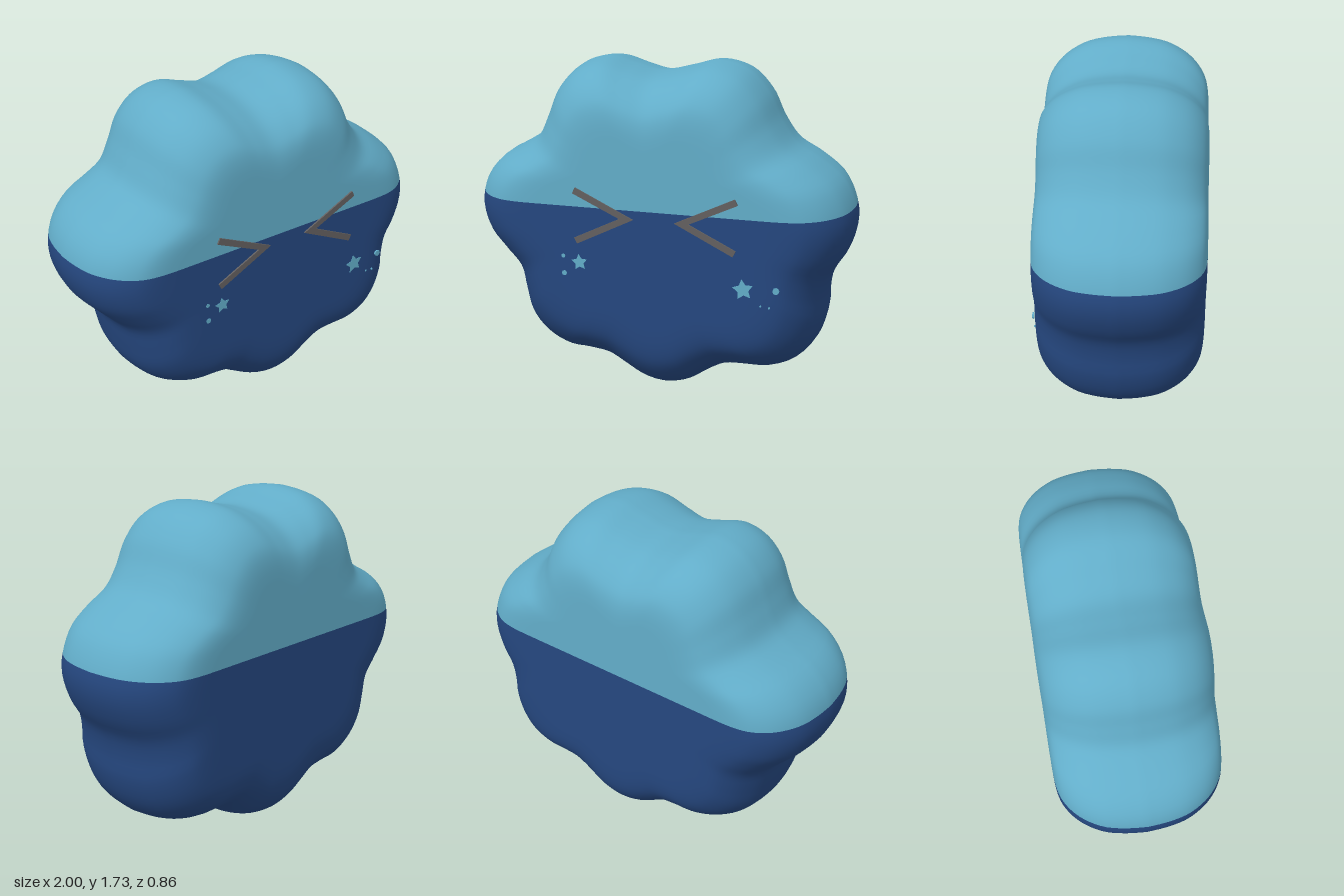
import * as THREE from 'three';

const N = 168;        // steps around the outline
const CY = 1.02;      // height of the colour split, also the radial centre
const MID = -0.005;   // middle of the body depth

// Seven-lobed outline, anticlockwise from the right tip
const OUTLINE = [
  [0.995, 1.0], [0.93, 1.15], [0.81, 1.25], [0.68, 1.33], [0.6, 1.44], [0.53, 1.58], [0.42, 1.69],
  [0.27, 1.73], [0.12, 1.695], [-0.03, 1.665], [-0.17, 1.695], [-0.31, 1.73], [-0.45, 1.69],
  [-0.55, 1.59], [-0.61, 1.45], [-0.67, 1.33], [-0.77, 1.26], [-0.89, 1.19], [-0.97, 1.09],
  [-1.0, 0.95], [-0.96, 0.81], [-0.87, 0.7], [-0.785, 0.6], [-0.757, 0.48], [-0.72, 0.34],
  [-0.63, 0.23], [-0.5, 0.165], [-0.38, 0.155], [-0.26, 0.135], [-0.16, 0.08], [-0.06, 0.025],
  [0.05, 0.003], [0.17, 0.03], [0.28, 0.1], [0.38, 0.15], [0.5, 0.16], [0.62, 0.165],
  [0.74, 0.215], [0.82, 0.31], [0.865, 0.45], [0.867, 0.55], [0.89, 0.67], [0.955, 0.78], [0.996, 0.9],
];

// Rounded edge: distance from the middle plane, inset from the outline
const EDGE = [
  [0, 0], [0.1, 0.008], [0.2, 0.028], [0.28, 0.065], [0.34, 0.11],
  [0.385, 0.165], [0.41, 0.22], [0.422, 0.29], [0.425, 0.37],
];

// Outline radius at N even angles
function outlineRadii() {
  const curve = new THREE.CatmullRomCurve3(OUTLINE.map(([x, y]) => new THREE.Vector3(x, y - CY, 0)), true);
  const polar = curve.getPoints(900).slice(0, -1).map((p) => {
    const a = Math.atan2(p.y, p.x);
    return [a < 0 ? a + Math.PI * 2 : a, Math.hypot(p.x, p.y)];
  }).sort((p, q) => p[0] - q[0]);
  const radii = [];
  for (let i = 0; i < N; i++) {
    const a = (i / N) * Math.PI * 2;
    const k = Math.max(1, polar.findIndex((p) => p[0] >= a));
    const [a0, r0] = polar[k - 1], [a1, r1] = polar[k];
    radii.push(r0 + (r1 - r0) * THREE.MathUtils.clamp((a - a0) / (a1 - a0 || 1), 0, 1));
  }
  return radii;
}

// Cushion body from rings, front to back; the upper and lower halves are two groups
function bodyGeometry() {
  const radii = outlineRadii();
  const lobe = N / 14;
  const soft = radii.map((_, i) => {
    let sum = 0;
    for (let k = -lobe; k <= lobe; k++) sum += radii[(i + k + N) % N];
    return sum / (2 * lobe + 1);
  });
  const edge = new THREE.SplineCurve(EDGE.map(([z, d]) => new THREE.Vector2(z, d))).getPoints(24);
  const rings = [
    ...edge.slice().reverse().map((p) => [p.x, p.y]),
    ...edge.slice(1).map((p) => [-p.x, p.y]),
  ];
  const pos = [];
  for (const [z, d] of rings) {
    for (let i = 0; i < N; i++) {
      const a = (i / N) * Math.PI * 2;
      const r = THREE.MathUtils.lerp(radii[i], soft[i], 0.35 * d / 0.37) - d;
      pos.push(Math.cos(a) * r, CY + Math.sin(a) * r, MID + z);
    }
  }
  const front = pos.length / 3, back = front + 1, last = (rings.length - 1) * N;
  pos.push(0, CY, MID + 0.425, 0, CY, MID - 0.425);

  const halves = [[], []];
  for (let i = 0; i < N; i++) {
    const out = halves[i < N / 2 ? 0 : 1];
    const n = (i + 1) % N;
    out.push(front, i, n, back, last + n, last + i);
    for (let j = 0; j < rings.length - 1; j++) {
      const a = j * N + i, b = j * N + n;
      out.push(a, a + N, b, b, a + N, b + N);
    }
  }
  const geo = new THREE.BufferGeometry();
  geo.setAttribute('position', new THREE.Float32BufferAttribute(pos, 3));
  geo.setIndex([...halves[0], ...halves[1]]);
  geo.addGroup(0, halves[0].length, 0);
  geo.addGroup(halves[0].length, halves[1].length, 1);
  geo.computeVertexNormals();
  return geo;
}

export function createModel() {
  const group = new THREE.Group();
  const mat = (name, color) => {
    const m = new THREE.MeshStandardMaterial({ color });
    m.name = name;
    return m;
  };
  const lightBlue = mat('lightBlue', 0x62adc9);
  const darkBlue = mat('darkBlue', 0x25477f);
  const grey = mat('grey', 0x636060);

  const body = new THREE.Mesh(bodyGeometry(), [lightBlue, darkBlue]);
  body.name = 'body';
  group.add(body);

  // Thin plate on the front face
  const plate = (name, points, material, z) => {
    const shape = new THREE.Shape(points.map(([x, y]) => new THREE.Vector2(x, y)));
    const mesh = new THREE.Mesh(new THREE.ExtrudeGeometry(shape, { depth: 0.009, bevelEnabled: false }), material);
    mesh.name = name;
    mesh.position.z = z;
    group.add(mesh);
  };

  // Squeezed-shut chevron eyes, mirrored about x = 0.047
  const chevron = [[-0.365, 1.12], [-0.06, 0.975], [-0.358, 0.828], [-0.373, 0.858], [-0.132, 0.975], [-0.38, 1.09]];
  plate('rightEye', chevron, grey, 0.419);
  plate('leftEye', chevron.map(([x, y]) => [0.094 - x, y]), grey, 0.419);

  // Cheek stars and specks
  const star = (x, y, r, turn) => Array.from({ length: 10 }, (_, i) => {
    const a = Math.PI / 2 + turn + (i * Math.PI) / 5, s = i % 2 ? r * 0.52 : r;
    return [x + Math.cos(a) * s, y + Math.sin(a) * s];
  });
  plate('rightCheekStar', star(-0.35, 0.727, 0.044, 0.1), lightBlue, 0.413);
  plate('leftCheekStar', star(0.505, 0.663, 0.055, 0.15), lightBlue, 0.413);
  const specks = [
    [-0.433, 0.663, 0.014], [-0.437, 0.755, 0.011], [0.67, 0.67, 0.017], [0.595, 0.585, 0.005], [0.638, 0.58, 0.005],
  ];
  for (const [x, y, r] of specks) {
    const dot = Array.from({ length: 8 }, (_, i) => [x + r * Math.cos(i * Math.PI / 4), y + r * Math.sin(i * Math.PI / 4)]);
    plate('cheekSpeck', dot, lightBlue, 0.413);
  }
  return group;
}
